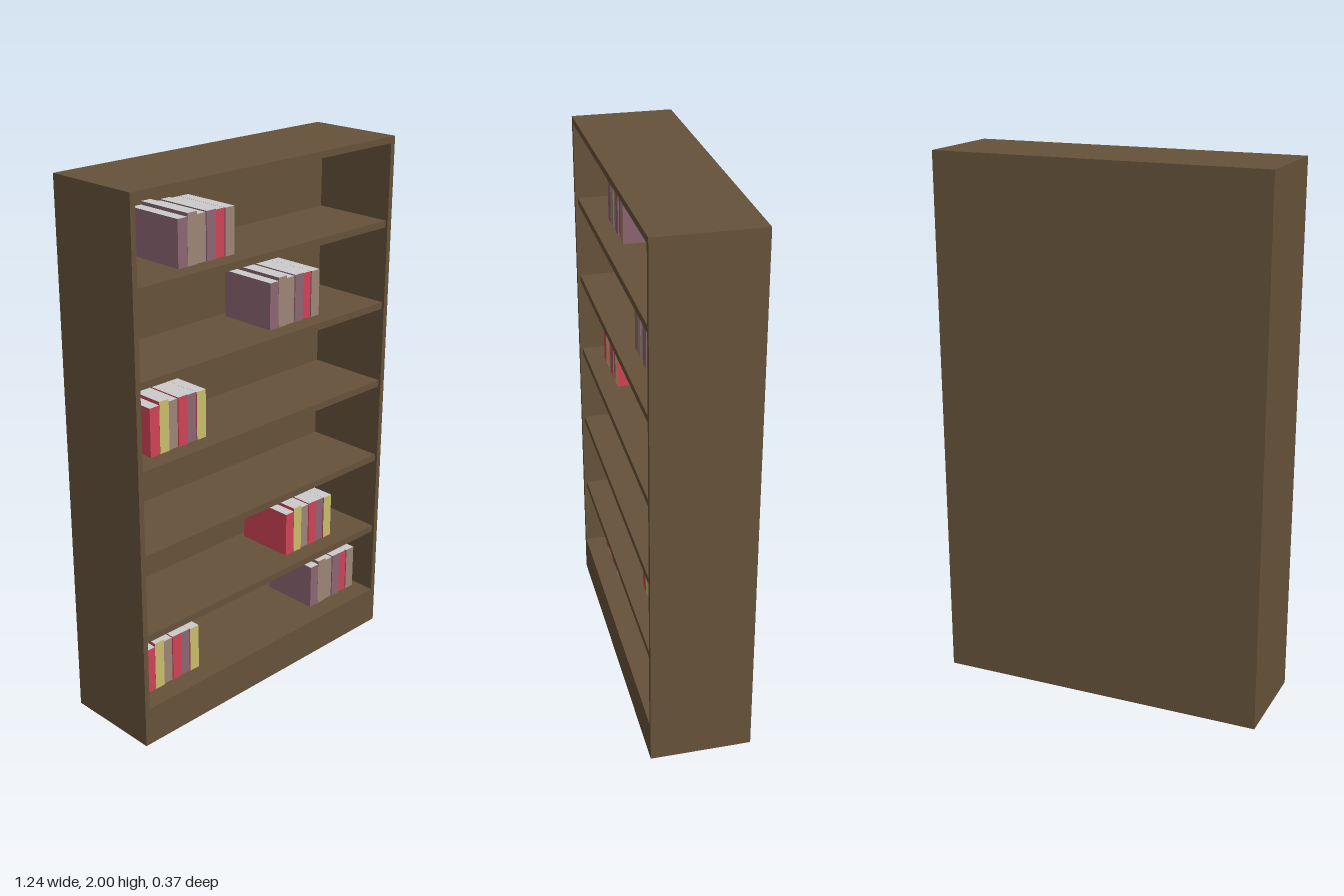
import * as THREE from 'three';

const paint = (color) => new THREE.MeshStandardMaterial({ color });

// box given by its min and max corners
function block(name, [x0, y0, z0], [x1, y1, z1], material) {
  const mesh = new THREE.Mesh(new THREE.BoxGeometry(x1 - x0, y1 - y0, z1 - z0), material);
  mesh.position.set((x0 + x1) / 2, (y0 + y1) / 2, (z0 + z1) / 2);
  mesh.name = name;
  return mesh;
}

export function createModel() {
  const model = new THREE.Group();
  model.name = 'bookcase';
  const wood = paint(0x66523a), pages = paint(0xcccccc);
  const purple = paint(0x8c6672), taupe = paint(0x9c8676);
  const red = paint(0xd04456), yellow = paint(0xcabd6c);

  const W = 0.622, IN = 0.602, D = 0.187, BACK = -0.142;
  const BASE = 0.148, TOP = 1.976;

  // carcass
  for (const s of [-1, 1]) {
    const [a, b] = [s * IN, s * W].sort((p, q) => p - q);
    model.add(block(s > 0 ? 'leftSide' : 'rightSide', [a, 0, -D], [b, 2, D], wood));
  }
  model.add(block('base', [-IN, 0, -D], [IN, BASE, D], wood));
  model.add(block('topBoard', [-IN, TOP, -D], [IN, 2, D], wood));
  model.add(block('backPanel', [-IN, BASE, -D], [IN, TOP, BACK], wood));

  // evenly spaced shelves, set back slightly from the front
  const shelfTop = (i) => 0.438 + i * 0.3135;
  for (let i = 0; i < 5; i++) {
    model.add(block('shelf', [-IN, shelfTop(i) - 0.026, BACK], [IN, shelfTop(i), D - 0.01], wood));
  }

  // rows of six books: coloured spines, one cover colour per row, pale page edges
  const purpleRow = { cover: purple, spines: [purple, taupe, taupe, purple, red, taupe] };
  const redRow = { cover: red, spines: [red, yellow, taupe, red, purple, yellow] };
  const extraHeight = [0, 0.012, 0, 0.004, 0, 0];
  const setBack = [0, 0, 0.004, 0, 0.004, 0];
  const bookWidth = 0.0425;

  function addBooks(x, y, height, { cover, spines }) {
    const row = new THREE.Group();
    row.name = 'bookRow';
    spines.forEach((spine, i) => {
      const x0 = x + i * bookWidth;
      row.add(block('book', [x0, y, -0.118],
        [x0 + bookWidth - 0.0005, y + height + extraHeight[i], 0.109 - setBack[i]],
        [cover, cover, pages, pages, spine, pages]));
    });
    model.add(row);
  }
  addBooks(-0.361, shelfTop(4), 0.166, purpleRow);
  addBooks(0.069, shelfTop(3), 0.173, purpleRow);
  addBooks(-0.499, shelfTop(2), 0.178, redRow);
  addBooks(0.17, shelfTop(0), 0.175, redRow);
  addBooks(-0.546, BASE, 0.178, redRow);
  addBooks(0.318, BASE, 0.178, purpleRow);

  return model;
}
